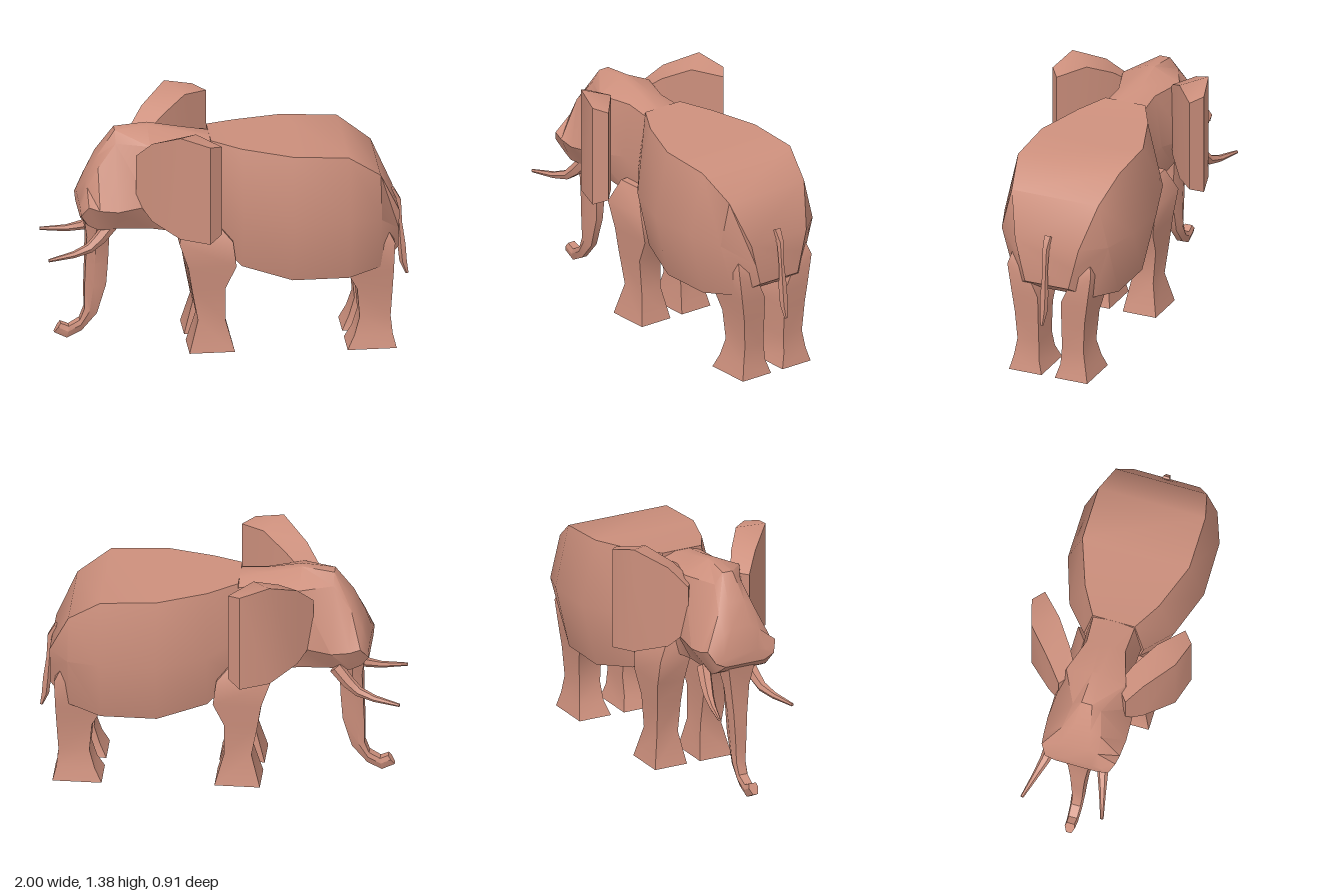
import * as THREE from 'three';
import { toCreasedNormals } from 'three/addons/utils/BufferGeometryUtils.js';

const hide = new THREE.MeshStandardMaterial({ color: 0xcc8f7c });

// Skin a list of closed rings (equal point counts) and cap both ends.
function loft(rings) {
  const n = rings[0].length, pos = rings.flat(2), idx = [];
  for (let i = 0; i < rings.length - 1; i++)
    for (let j = 0; j < n; j++) {
      const a = i * n + j, b = i * n + (j + 1) % n;
      idx.push(a, b, b + n, a, b + n, a + n);
    }
  const last = (rings.length - 1) * n;
  for (let j = 1; j < n - 1; j++) idx.push(0, j + 1, j, last, last + j, last + j + 1);
  // Turn the faces outward whichever way the rings wind.
  const p = (i) => new THREE.Vector3().fromArray(pos, i * 3);
  let volume = 0;
  for (let i = 0; i < idx.length; i += 3)
    volume += p(idx[i]).dot(p(idx[i + 1]).cross(p(idx[i + 2])));
  if (volume < 0) idx.reverse();
  const g = new THREE.BufferGeometry();
  g.setAttribute('position', new THREE.Float32BufferAttribute(pos, 3));
  g.setIndex(idx);
  return toCreasedNormals(g, 0.62);
}

// Symmetric ring at x from [y, halfWidth] pairs listed top to bottom.
const barrel = (x, pairs) => [
  ...pairs.map(([y, w]) => [x, y, w]),
  ...pairs.map(([y, w]) => [x, y, -w]).reverse(),
];

// Tapered strand through [x, y, z, radius] stations.
function strand(stations, sides) {
  const pts = stations.map((s) => new THREE.Vector3(s[0], s[1], s[2]));
  return loft(stations.map((s, i) => {
    const t = pts[Math.min(i + 1, pts.length - 1)].clone().sub(pts[Math.max(i - 1, 0)]).normalize();
    const u = new THREE.Vector3(0, 0, 1).cross(t).normalize();
    const v = t.clone().cross(u);
    return Array.from({ length: sides }, (_, k) => {
      const a = ((k + 0.5) / sides) * Math.PI * 2;
      return pts[i].clone().addScaledVector(u, s[3] * Math.cos(a))
        .addScaledVector(v, s[3] * Math.sin(a)).toArray();
    });
  }));
}

// Four-sided leg from [y, xFront, xBack, zInner, zOuter] levels.
const leg = (levels, side) => loft(levels.map(([y, x0, x1, z0, z1]) =>
  [[x0, y, z0 * side], [x1, y, z0 * side], [x1, y, z1 * side], [x0, y, z1 * side]]));

export function createModel() {
  const model = new THREE.Group();
  const add = (name, geometry) => {
    const mesh = new THREE.Mesh(geometry, hide);
    mesh.name = name;
    model.add(mesh);
  };

  // Body: flat back and belly, bulging flanks
  add('body', loft([
    barrel(-0.10, [[1.23, 0.12], [0.90, 0.17], [0.66, 0.12]]),
    barrel(0.06, [[1.21, 0.21], [0.85, 0.30], [0.52, 0.22]]),
    barrel(0.33, [[1.19, 0.305], [0.82, 0.388], [0.457, 0.30]]),
    barrel(0.64, [[1.17, 0.305], [0.82, 0.385], [0.457, 0.30]]),
    barrel(0.82, [[1.04, 0.26], [0.80, 0.32], [0.485, 0.23]]),
    barrel(0.93, [[0.80, 0.19], [0.68, 0.16], [0.56, 0.13]]),
  ]));

  // Head and neck: narrow crown, wide cheeks
  add('head', loft([
    barrel(-0.82, [[0.88, 0.08], [0.87, 0.13], [0.84, 0.18], [0.81, 0.12]]),
    barrel(-0.78, [[1.01, 0.06], [0.98, 0.11], [0.90, 0.21], [0.77, 0.15]]),
    barrel(-0.72, [[1.14, 0.05], [1.09, 0.11], [0.88, 0.218], [0.74, 0.15]]),
    barrel(-0.62, [[1.28, 0.03], [1.22, 0.08], [0.87, 0.225], [0.74, 0.14]]),
    barrel(-0.44, [[1.30, 0.02], [1.23, 0.17], [0.90, 0.22], [0.73, 0.13]]),
    barrel(-0.25, [[1.26, 0.03], [1.22, 0.11], [0.92, 0.15], [0.69, 0.11]]),
    barrel(-0.06, [[1.22, 0.05], [1.20, 0.12], [0.90, 0.16], [0.67, 0.11]]),
  ]));

  // Trunk: front edge x, y, back edge x, y, half width
  add('trunk', loft([
    [-0.80, 0.84, -0.62, 0.78, 0.12],
    [-0.775, 0.66, -0.65, 0.65, 0.075],
    [-0.78, 0.50, -0.655, 0.50, 0.055],
    [-0.785, 0.36, -0.665, 0.36, 0.045],
    [-0.785, 0.22, -0.715, 0.19, 0.037],
    [-0.81, 0.155, -0.80, 0.09, 0.034],
    [-0.87, 0.12, -0.88, 0.05, 0.031],
    [-0.915, 0.14, -0.95, 0.085, 0.029],
  ].map(([fx, fy, bx, by, w]) => {
    const at = (t, z) => [fx + (bx - fx) * t, fy + (by - fy) * t, z * w - 0.006];
    return [at(0, 0.75), at(0.4, 1), at(1, 0.5), at(1, -0.5), at(0.4, -1), at(0, -0.75)];
  })));

  // Ears: thick curved slabs; outer x, z, inner x, z, outer and inner height spans
  const earStations = [
    [-0.52, 0.19, -0.43, 0.12, 0.93, 1.19, 0.93, 1.19],
    [-0.44, 0.27, -0.33, 0.18, 0.83, 1.29, 0.84, 1.27],
    [-0.30, 0.41, -0.20, 0.28, 0.775, 1.375, 0.78, 1.34],
    [-0.14, 0.455, -0.07, 0.40, 0.755, 1.33, 0.79, 1.31],
  ];

  for (const [side, word] of [[1, 'left'], [-1, 'right']]) {
    add(word + 'Ear', loft(earStations.map(([ox, oz, ix, iz, oy0, oy1, iy0, iy1]) =>
      [[ox, oy0, oz * side], [ox, oy1, oz * side], [ix, iy1, iz * side], [ix, iy0, iz * side]])));

    // Tusk, set slightly to the right of the centre line
    add(word + 'Tusk', strand([
      [-0.64, 0.76, 0.13, 0.04], [-0.71, 0.68, 0.15, 0.036], [-0.77, 0.63, 0.165, 0.028],
      [-0.86, 0.605, 0.19, 0.019], [-1.0, 0.592, 0.228, 0.009],
    ].map(([x, y, z, r]) => [x, y, z * side - 0.03, r]), 6));

    // Legs, flaring into the feet and tapering into the flanks
    add(word + 'FrontLeg', leg([
      [0.02, -0.23, 0.02, 0.04, 0.238],
      [0.20, -0.18, -0.03, 0.07, 0.20],
      [0.39, -0.215, -0.03, 0.07, 0.215],
      [0.52, -0.235, 0.03, 0.06, 0.225],
      [0.67, -0.285, 0.01, 0.05, 0.235],
      [0.79, -0.25, -0.10, 0.05, 0.17],
    ], side));
    add(word + 'HindLeg', leg([
      [0, 0.64, 0.91, 0.04, 0.235],
      [0.08, 0.68, 0.89, 0.065, 0.215],
      [0.18, 0.71, 0.88, 0.07, 0.198],
      [0.35, 0.695, 0.89, 0.07, 0.21],
      [0.455, 0.64, 0.895, 0.07, 0.225],
      [0.63, 0.74, 0.90, 0.15, 0.25],
      [0.69, 0.83, 0.87, 0.21, 0.235],
    ], side));
  }

  // Tail with a widened tuft
  add('tail', strand([
    [0.90, 0.84, 0, 0.03], [0.942, 0.78, 0, 0.02], [0.952, 0.65, 0, 0.015],
    [0.963, 0.52, 0, 0.024], [0.972, 0.42, 0, 0.022], [0.993, 0.345, 0, 0.009],
  ], 5));

  return model;
}
